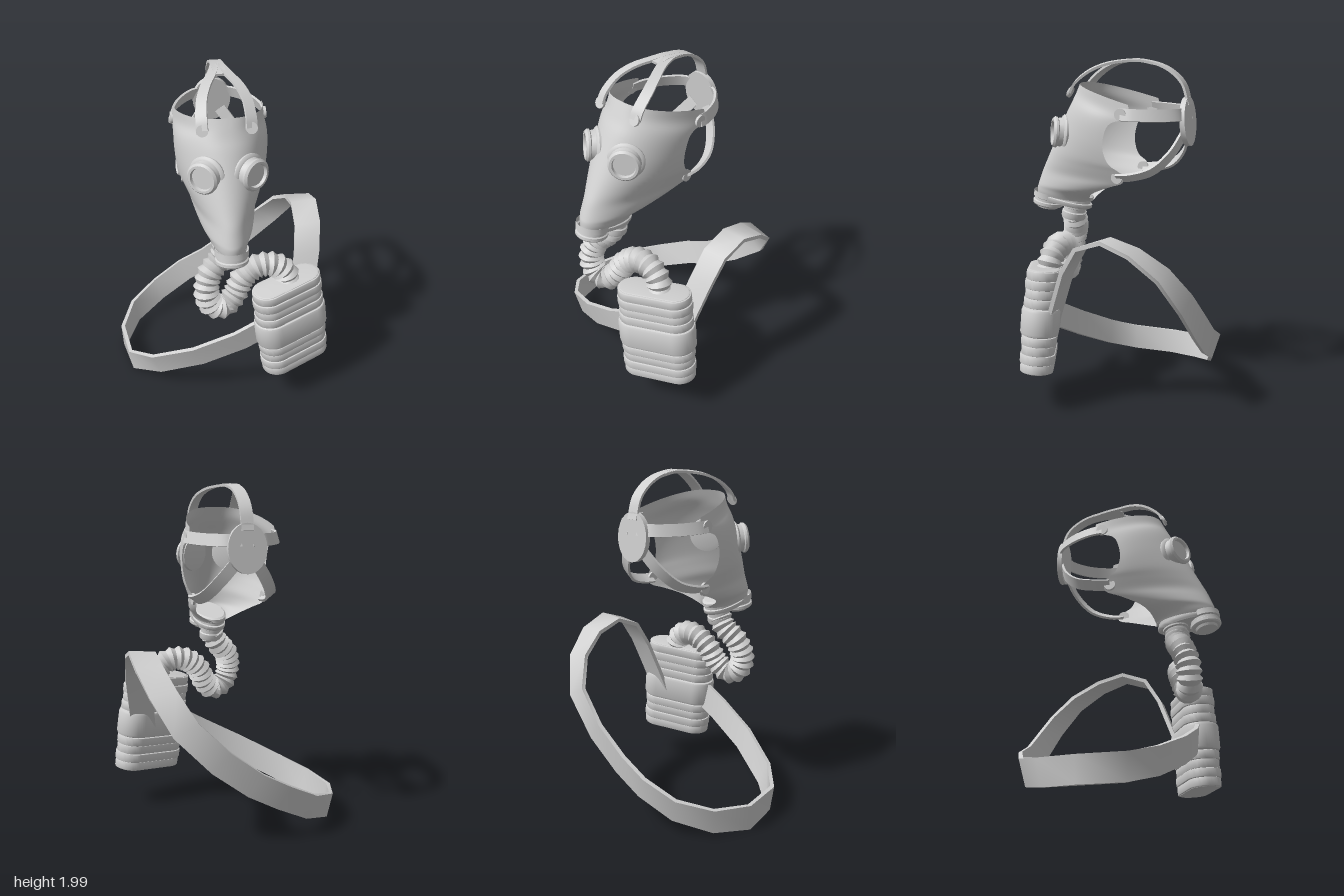
import * as THREE from 'three';
import { toCreasedNormals } from 'three/addons/utils/BufferGeometryUtils.js';

const V = (x, y, z) => new THREE.Vector3(x, y, z);

export function createModel() {
  const model = new THREE.Group();
  const rubber = new THREE.MeshStandardMaterial({ color: 0xd0d0d0, side: THREE.DoubleSide });
  rubber.name = 'light grey rubber';

  function add(name, geometry, parent = model, crease = 0.6) {
    const mesh = new THREE.Mesh(crease ? toCreasedNormals(geometry, crease) : geometry, rubber);
    mesh.name = name;
    parent.add(mesh);
    return mesh;
  }

  function group(name, x, y, z, parent = model) {
    const g = new THREE.Group();
    g.name = name;
    g.position.set(x, y, z);
    parent.add(g);
    return g;
  }

  function build(positions, index) {
    const g = new THREE.BufferGeometry();
    g.setAttribute('position', new THREE.Float32BufferAttribute(positions, 3));
    g.setIndex(index);
    g.computeVertexNormals();
    return g;
  }

  const lathe = (profile, sides = 32) =>
    new THREE.LatheGeometry(profile.map(([r, y]) => new THREE.Vector2(r, y)), sides);

  // Flat band of rectangular section; widthDir(i, tangent) gives the direction across it
  function ribbon(points, widthDir, width, thick) {
    const pos = [], index = [], n = points.length;
    points.forEach((p, i) => {
      const t = points[Math.min(i + 1, n - 1)].clone().sub(points[Math.max(i - 1, 0)]).normalize();
      const w = widthDir(i, t).normalize();
      const d = t.clone().cross(w).normalize();
      for (const [a, b] of [[-1, -1], [1, -1], [1, 1], [-1, 1]])
        pos.push(...p.clone().addScaledVector(w, a * width(i / (n - 1)) / 2)
          .addScaledVector(d, b * thick / 2).toArray());
      if (i) for (let k = 0; k < 4; k++) {
        const a = (i - 1) * 4 + k, b = (i - 1) * 4 + (k + 1) % 4;
        index.push(a, b, b + 4, a, b + 4, a + 4);
      }
    });
    const e = (n - 1) * 4;
    index.push(0, 2, 1, 0, 3, 2, e, e + 1, e + 2, e, e + 2, e + 3);
    return build(pos, index);
  }

  const mask = group('mask', 0.01, 0, 0);

  // Face shell: U-shaped sections that close into an oval at the chin
  // [front z, front y, edge z, edge y, half width, sweep in degrees]
  const sections = [
    [0.235, 1.86, -0.14, 1.76, 0.25, 90], [0.26, 1.81, -0.15, 1.69, 0.257, 90],
    [0.285, 1.76, -0.04, 1.655, 0.26, 90], [0.32, 1.70, 0.0, 1.59, 0.26, 90],
    [0.37, 1.60, 0.01, 1.50, 0.253, 90], [0.43, 1.48, -0.02, 1.42, 0.24, 90],
    [0.47, 1.40, -0.08, 1.375, 0.225, 90], [0.5, 1.34, -0.09, 1.315, 0.2, 90],
    [0.52, 1.29, 0.0, 1.28, 0.18, 93], [0.535, 1.25, 0.11, 1.235, 0.15, 106],
    [0.543, 1.225, 0.165, 1.195, 0.118, 132], [0.545, 1.19, 0.19, 1.15, 0.095, 180],
  ];
  const curve = (f) => new THREE.CatmullRomCurve3(sections.map(f), false, 'catmullrom', 0.5);
  const front = curve((s) => V(s[0], s[1], s[4]));
  const edge = curve((s) => V(s[2], s[3], s[5]));
  const rows = 44, cols = 48, pos = [], index = [];
  for (let i = 0; i <= rows; i++) {
    const f = front.getPoint(i / rows), e = edge.getPoint(i / rows);
    const sweep = THREE.MathUtils.degToRad(THREE.MathUtils.clamp(e.z, 90, 180));
    const power = 0.82 + 0.18 * Math.min(1, i / 14);
    for (let j = 0; j <= cols; j++) {
      const a = (j / cols * 2 - 1) * sweep, s = Math.sin(a);
      const t = (Math.cos(a) - Math.cos(sweep)) / (1 - Math.cos(sweep));
      pos.push(f.z * Math.sign(s) * Math.abs(s) ** power, e.y + (f.y - e.y) * t, e.x + (f.x - e.x) * t);
      if (i && j) {
        const q = i * (cols + 1) + j, p = q - cols - 1;
        index.push(p - 1, q - 1, q, p - 1, q, p);
      }
    }
  }
  add('faceShell', build(pos, index), mask, 0);

  // Eyepieces: flange, cup, lip and recessed lens
  for (const side of [-1, 1]) {
    const n = V(side * 0.57, 0.08, 0.82).normalize();
    const eye = add('eyepiece', lathe([[0, -0.01], [0.075, -0.01], [0.102, -0.005], [0.105, 0.012],
      [0.096, 0.022], [0.087, 0.025], [0.081, 0.05], [0.09, 0.056], [0.09, 0.068], [0.079, 0.08],
      [0.066, 0.08], [0.062, 0.062], [0, 0.062]], 36), mask);
    eye.quaternion.setFromUnitVectors(V(0, 1, 0), n);
    eye.position.set(side * 0.152, 1.58, 0.37).addScaledVector(n, -0.08);
  }

  // Snout fittings: oval collar, outlet valve at the front, hose socket behind it
  const snout = group('snout', 0, 1.175, 0.365, mask);
  snout.rotation.x = -0.19;
  add('collar', lathe([[0, -0.04], [0.092, -0.04], [0.097, -0.032], [0.097, -0.014], [0.09, -0.01],
    [0.09, 0.01], [0.098, 0.014], [0.098, 0.034], [0.088, 0.042], [0, 0.042]]), snout).scale.z = 1.85;
  add('outletValve', lathe([[0, -0.1], [0.062, -0.1], [0.067, -0.085], [0.086, -0.085], [0.093, -0.077],
    [0.093, -0.06], [0.085, -0.055], [0.085, -0.04], [0.095, -0.035], [0.095, 0]]), snout).position.z = 0.106;
  add('hoseSocket', lathe([[0, -0.12], [0.07, -0.12], [0.074, -0.11], [0.074, -0.08], [0.066, -0.075],
    [0.066, -0.055], [0.078, -0.05], [0.078, 0]]), snout).position.z = -0.075;

  // Corrugated hose: every second ring is swollen
  const path = new THREE.CatmullRomCurve3([V(0.01, 1.08, 0.31), V(-0.03, 1.01, 0.315), V(-0.1, 0.93, 0.35),
    V(-0.12, 0.82, 0.385), V(-0.085, 0.73, 0.385), V(-0.015, 0.705, 0.37), V(0.05, 0.76, 0.34),
    V(0.1, 0.855, 0.31), V(0.19, 0.92, 0.295), V(0.285, 0.92, 0.295), V(0.35, 0.87, 0.3), V(0.375, 0.79, 0.31)]);
  const folds = 26, sides = 14;
  const hose = new THREE.TubeGeometry(path, folds * 2, 1, sides);
  const hp = hose.attributes.position, v = V(0, 0, 0);
  for (let i = 0; i <= folds * 2; i++) {
    const c = path.getPointAt(i / (folds * 2));
    for (let j = 0; j <= sides; j++) {
      const k = i * (sides + 1) + j;
      v.fromBufferAttribute(hp, k).sub(c).multiplyScalar(i % 2 ? 0.077 : 0.06).add(c);
      hp.setXYZ(k, v.x, v.y, v.z);
    }
  }
  add('hose', hose, model, 0.5);

  // Filter canister: a stack of rounded slabs
  const canister = group('canister', 0.392, 0.527, 0.347);
  canister.rotation.set(-0.04, 0.4, 0.115, 'ZYX');
  function slab(name, y, height, radius, bevel) {
    const s = new THREE.Shape(), r = radius - bevel, L = 0.125;
    s.absarc(L, 0, r, -Math.PI / 2, Math.PI / 2);
    s.absarc(-L, 0, r, Math.PI / 2, Math.PI * 1.5);
    const g = new THREE.ExtrudeGeometry(s, { depth: height - 2 * bevel, bevelSize: bevel,
      bevelThickness: bevel, bevelSegments: 2, curveSegments: 12 });
    g.translate(0, 0, bevel - height / 2).rotateX(-Math.PI / 2).translate(0, y, 0);
    add(name, g, canister);
  }
  slab('canisterCore', 0, 0.6, 0.088, 0.008);
  for (const end of [-1, 1]) for (let i = 0; i < 4; i++)
    slab('canisterRib', end * (0.11 + i * 0.053), 0.053, i % 2 ? 0.096 : 0.101, 0.006);
  slab('canisterBelt', 0, 0.165, 0.11, 0.02);

  // Shoulder strap: [x, y, z, roll in degrees], twisting from upright to flat
  const strap = [[0.24, 0.52, 0.38, 32], [0.08, 0.43, 0.385, 30], [-0.17, 0.3, 0.35, 26], [-0.42, 0.17, 0.25, 20],
    [-0.57, 0.1, 0.12, 8], [-0.615, 0.086, -0.13, 3], [-0.53, 0.11, -0.34, 10], [-0.36, 0.17, -0.48, 20],
    [-0.17, 0.27, -0.545, 28], [0, 0.36, -0.55, 34], [0.2, 0.51, -0.555, 42], [0.39, 0.7, -0.53, 60],
    [0.49, 0.88, -0.43, 78], [0.535, 1.0, -0.28, 88], [0.54, 1.055, -0.12, 94], [0.535, 1.0, 0.03, 96],
    [0.52, 0.85, 0.12, 98], [0.49, 0.66, 0.19, 98], [0.47, 0.52, 0.24, 98]];
  add('shoulderStrap', ribbon(strap.map((p) => V(p[0], p[1], p[2])), (i) => {
    const a = THREE.MathUtils.degToRad(strap[i][3]);
    return V(-Math.sin(a), Math.cos(a), 0.4 * strap[i][2] * Math.max(0, Math.cos(a)));
  }, () => 0.155, 0.024), model, 1);

  // Head harness: straps that hug the head and meet at a pad
  const head = V(0, 1.62, -0.06);
  function harness(name, pts, width) {
    const p = new THREE.CatmullRomCurve3(pts).getPoints(20);
    add(name, ribbon(p, (i, t) => t.clone().cross(p[i].clone().sub(head)), width, 0.014), mask, 0.8);
  }
  harness('crownStrap', [V(0, 1.986, -0.02), V(0, 1.993, -0.1), V(0, 1.955, -0.27), V(0, 1.87, -0.375),
    V(0, 1.75, -0.415)], () => 0.07);
  for (const s of [-1, 1]) {
    harness('crownArm', [V(s * 0.13, 1.81, 0.262), V(s * 0.13, 1.86, 0.235), V(s * 0.118, 1.93, 0.15),
      V(s * 0.085, 1.97, 0.06), V(s * 0.045, 1.987, -0.03), V(s * 0.02, 1.991, -0.12),
      V(s * 0.012, 1.975, -0.21)], (t) => 0.065 - 0.02 * t);
    harness('templeStrap', [V(s * 0.262, 1.705, -0.1), V(s * 0.255, 1.703, -0.17), V(s * 0.205, 1.7, -0.29),
      V(s * 0.12, 1.7, -0.385), V(s * 0.03, 1.7, -0.41)], () => 0.068);
    harness('cheekStrap', [V(s * 0.213, 1.345, -0.06), V(s * 0.215, 1.352, -0.14), V(s * 0.19, 1.39, -0.26),
      V(s * 0.13, 1.48, -0.35), V(s * 0.05, 1.59, -0.4)], () => 0.068);
    // Rounded strap ends on the shell
    for (const [x, y, z] of [[0.262, 1.705, -0.1], [0.213, 1.345, -0.06]]) {
      const tab = add('strapEnd', new THREE.CylinderGeometry(0.034, 0.034, 0.014, 20), mask);
      tab.rotation.z = Math.PI / 2;
      tab.position.set(s * x, y, z);
    }
    const tip = add('strapEnd', new THREE.CylinderGeometry(0.032, 0.032, 0.014, 20), mask);
    tip.rotation.x = Math.PI / 2 - 0.45;
    tip.position.set(s * 0.13, 1.81, 0.262);
  }
  const pad = add('backPad', new THREE.CylinderGeometry(0.12, 0.12, 0.03, 24), mask);
  pad.scale.set(0.93, 1, 1.15);
  pad.rotation.x = Math.PI / 2 + 0.07;
  pad.position.set(0, 1.655, -0.407);
  return model;
}
